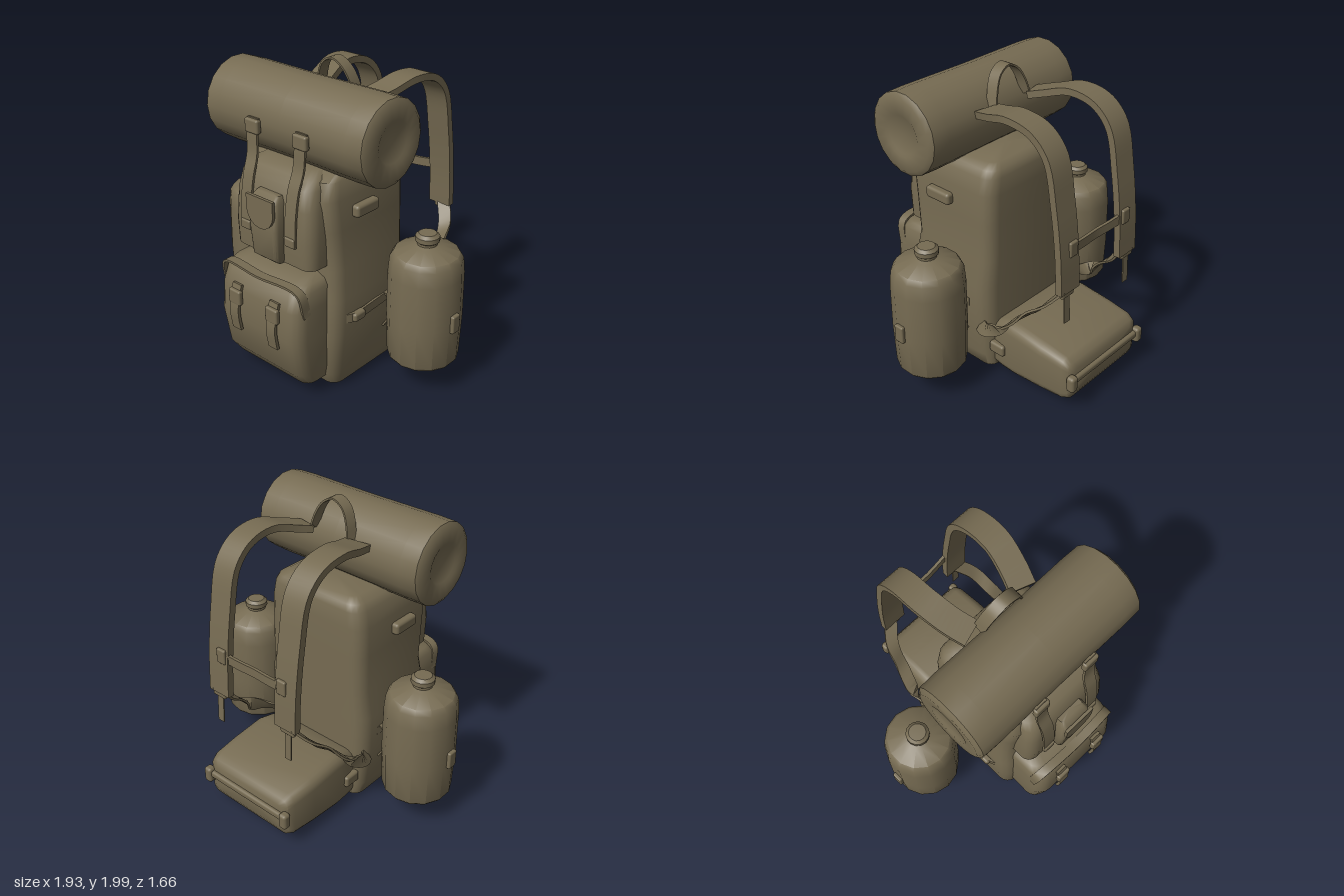
import * as THREE from 'three';
import { toCreasedNormals } from 'three/addons/utils/BufferGeometryUtils.js';
import { RoundedBoxGeometry } from 'three/addons/geometries/RoundedBoxGeometry.js';

const V = (x, y, z) => new THREE.Vector3(x, y, z);

// Skin a list of closed rings and cap both ends
function skin(rings, crease = 0.8) {
  const n = rings[0].length, pos = [], idx = [];
  rings.forEach(r => r.forEach(p => pos.push(p.x, p.y, p.z)));
  const centre = r => {
    const c = V(0, 0, 0);
    r.forEach(p => c.addScaledVector(p, 1 / n));
    pos.push(c.x, c.y, c.z);
    return pos.length / 3 - 1;
  };
  const lo = centre(rings[0]), hi = centre(rings[rings.length - 1]);
  const last = (rings.length - 1) * n;
  for (let i = 0; i < n; i++) {
    const k = (i + 1) % n;
    for (let j = 0; j < rings.length - 1; j++) {
      const a = j * n + i, b = j * n + k;
      idx.push(a, a + n, b, b, a + n, b + n);
    }
    idx.push(lo, i, k, hi, last + k, last + i);
  }
  const g = new THREE.BufferGeometry();
  g.setAttribute('position', new THREE.Float32BufferAttribute(pos, 3));
  g.setIndex(idx);
  return toCreasedNormals(g, crease);
}

// Stack rounded rectangles: [height, half width, back z, front z, corner radius]
function loft(sections) {
  return skin(sections.map(([y, w, z0, z1, r]) => {
    const ring = [];
    [[w - r, z1 - r], [r - w, z1 - r], [r - w, z0 + r], [w - r, z0 + r]].forEach(([cx, cz], q) => {
      for (let i = 0; i <= 4; i++) {
        const a = (q + i / 4) * Math.PI / 2;
        ring.push(V(cx + r * Math.cos(a), y, cz + r * Math.sin(a)));
      }
    });
    return ring;
  }));
}

// Flat webbing swept along a path; "across" is the width direction
function webbing(points, width, thick, across, steps = 24) {
  const curve = new THREE.CatmullRomCurve3(points.map(p => V(...p)));
  const rings = [];
  for (let i = 0; i <= steps; i++) {
    const p = curve.getPoint(i / steps), t = curve.getTangent(i / steps);
    const s = V(...across).addScaledVector(t, -V(...across).dot(t)).normalize();
    const n = V(0, 0, 0).crossVectors(s, t);
    rings.push([[1, 1], [-1, 1], [-1, -1], [1, -1]].map(([a, b]) =>
      p.clone().addScaledVector(s, a * width / 2).addScaledVector(n, b * thick / 2)));
  }
  return skin(rings);
}

export function createModel() {
  const model = new THREE.Group();
  const canvas = new THREE.MeshStandardMaterial({ color: 0x766b52 });
  canvas.name = 'olive canvas';

  const add = (name, geo, x = 0, y = 0, z = 0) => {
    const m = new THREE.Mesh(geo, canvas);
    m.name = name;
    m.position.set(x, y, z);
    model.add(m);
    return m;
  };
  const block = (name, w, h, d, x, y, z) =>
    add(name, new RoundedBoxGeometry(w, h, d, 2, Math.min(w, h, d) * 0.35), x, y, z);

  // Main sack
  add('mainSack', loft([
    [0.005, 0.34, -0.13, 0.42, 0.06], [0.03, 0.375, -0.155, 0.5, 0.07], [0.12, 0.395, -0.16, 0.54, 0.08],
    [0.4, 0.415, -0.16, 0.55, 0.1], [0.65, 0.415, -0.16, 0.54, 0.1], [0.84, 0.39, -0.16, 0.51, 0.09],
    [1.1, 0.385, -0.16, 0.53, 0.09], [1.3, 0.38, -0.16, 0.55, 0.09], [1.41, 0.36, -0.155, 0.52, 0.09],
    [1.455, 0.335, -0.14, 0.42, 0.08], [1.485, 0.28, -0.1, 0.22, 0.06]]));

  // Front pockets
  add('lowerPocket', loft([
    [0.08, 0.28, 0.4, 0.58, 0.05], [0.11, 0.33, 0.4, 0.69, 0.07], [0.2, 0.345, 0.4, 0.755, 0.08],
    [0.45, 0.35, 0.4, 0.8, 0.09], [0.65, 0.345, 0.4, 0.785, 0.09], [0.76, 0.335, 0.4, 0.75, 0.09],
    [0.8, 0.31, 0.4, 0.7, 0.08], [0.82, 0.25, 0.4, 0.58, 0.05]]));
  add('lowerPocketFlapHem', webbing([[-0.34, 0.62, 0.7], [-0.31, 0.78, 0.73], [0, 0.79, 0.745],
    [0.31, 0.78, 0.73], [0.34, 0.62, 0.7]], 0.06, 0.015, [0, 0, 1]));
  add('lidPocket', loft([
    [0.85, 0.28, 0.4, 0.6, 0.05], [0.88, 0.325, 0.4, 0.645, 0.07], [1.05, 0.33, 0.4, 0.655, 0.08],
    [1.25, 0.32, 0.4, 0.64, 0.08], [1.37, 0.3, 0.4, 0.615, 0.08], [1.42, 0.28, 0.38, 0.57, 0.07],
    [1.455, 0.22, 0.3, 0.48, 0.05]]));
  add('smallPouch', loft([
    [0.87, 0.095, 0.6, 0.67, 0.02], [0.9, 0.11, 0.6, 0.705, 0.03], [1.1, 0.115, 0.6, 0.72, 0.03],
    [1.27, 0.11, 0.6, 0.71, 0.03], [1.31, 0.09, 0.6, 0.67, 0.02]]));

  // Rounded flap on the small pouch
  const flap = new THREE.Shape();
  flap.moveTo(-0.11, 0.2);
  flap.lineTo(-0.11, 0.1);
  flap.bezierCurveTo(-0.09, -0.03, 0.09, -0.03, 0.11, 0.1);
  flap.lineTo(0.11, 0.2);
  add('pouchFlap', new THREE.ExtrudeGeometry(flap, { depth: 0.02, bevelEnabled: false }), 0, 1.1, 0.712);

  // Bedroll lying across the top
  const roll = [[0, -0.625], [0.12, -0.63], [0.14, -0.64], [0.23, -0.642], [0.262, -0.62], [0.266, -0.5],
    [0.262, 0], [0.266, 0.5], [0.262, 0.62], [0.23, 0.642], [0.14, 0.64], [0.12, 0.63], [0, 0.625]];
  const rollGeo = new THREE.LatheGeometry(roll.map(p => new THREE.Vector2(...p)), 18);
  add('bedroll', toCreasedNormals(rollGeo, 0.7).rotateZ(Math.PI / 2), 0, 1.673, 0.295);

  // Carry handle behind the bedroll
  add('carryHandle', webbing([[-0.15, 1.77, 0.03], [-0.12, 1.88, 0.05], [-0.075, 1.955, 0.065], [0, 1.992, 0.07],
    [0.075, 1.955, 0.065], [0.12, 1.88, 0.05], [0.15, 1.77, 0.03]], 0.08, 0.012, [0, 0, 1]));

  // Seat bag at the back, lofted rearward
  add('rearBag', loft([
    [0.13, 0.34, 0.04, 0.38, 0.06], [0.22, 0.355, 0.035, 0.42, 0.07], [0.32, 0.365, 0.04, 0.435, 0.07],
    [0.55, 0.365, 0.055, 0.41, 0.07], [0.72, 0.355, 0.07, 0.385, 0.06], [0.765, 0.34, 0.09, 0.36, 0.05],
    [0.785, 0.3, 0.13, 0.32, 0.04]]).rotateX(-Math.PI / 2));
  block('rearBagLip', 0.66, 0.05, 0.05, 0, 0.25, -0.785);

  // Canteen outline
  const canteen = [[0, 0.21], [0.21, 0.21], [0.225, 0.23], [0.235, 0.5], [0.232, 0.8], [0.222, 0.9], [0.2, 0.935],
    [0.09, 0.975], [0.062, 0.985], [0.062, 1.0], [0.075, 1.01], [0.075, 1.04], [0.055, 1.058], [0, 1.06]];

  for (const s of [1, -1]) {
    const side = s > 0 ? 'left' : 'right';
    const flip = pts => pts.map(([x, y, z]) => [x * s, y, z]);

    // Canteen with its outer clip
    add(side + 'Canteen', toCreasedNormals(
      new THREE.LatheGeometry(canteen.map(p => new THREE.Vector2(...p)), 14), 0.7), s * 0.712, 0, 0.047);
    block(side + 'CanteenClip', 0.03, 0.12, 0.07, s * 0.95, 0.53, 0.06);

    // Padded shoulder strap
    add(side + 'ShoulderStrap', webbing(flip([[0.2, 1.765, 0.02], [0.24, 1.8, -0.1], [0.275, 1.845, -0.27],
      [0.28, 1.815, -0.45], [0.28, 1.7, -0.57], [0.28, 1.42, -0.635], [0.28, 1.12, -0.675], [0.28, 0.86, -0.69]]),
    0.165, 0.045, [1, 0, 0], 36));
    // Lower adjusting strap, buckle and loose tail
    add(side + 'LowerStrap', webbing(flip([[0.3, 0.87, -0.69], [0.38, 0.76, -0.6], [0.42, 0.64, -0.47],
      [0.46, 0.48, -0.31], [0.455, 0.4, -0.18], [0.4, 0.36, -0.08]]), 0.085, 0.015, [0, 0.7, -0.7]));
    block(side + 'StrapBuckle', 0.11, 0.07, 0.035, s * 0.29, 0.86, -0.69);
    add(side + 'StrapTail', webbing(flip([[0.29, 0.86, -0.69], [0.29, 0.75, -0.695], [0.29, 0.64, -0.7]]),
      0.05, 0.008, [1, 0, 0], 6));
    block(side + 'ChestBuckle', 0.07, 0.1, 0.03, s * 0.25, 1.14, -0.695);

    // Strap from the bedroll down over the lid pocket
    add(side + 'LidStrap', webbing(flip([[0.195, 1.7, 0.565], [0.195, 1.6, 0.58], [0.19, 1.48, 0.59],
      [0.185, 1.36, 0.63], [0.185, 1.2, 0.658], [0.185, 1.02, 0.668]]), 0.085, 0.015, [1, 0, 0]));
    block(side + 'LidStrapUpperBuckle', 0.11, 0.09, 0.04, s * 0.195, 1.65, 0.575);
    block(side + 'LidStrapLowerBuckle', 0.08, 0.06, 0.03, s * 0.185, 1.05, 0.67);

    // Short strap on the lower pocket
    add(side + 'PocketStrap', webbing(flip([[0.16, 0.69, 0.785], [0.16, 0.6, 0.81], [0.16, 0.5, 0.822],
      [0.16, 0.38, 0.805]]), 0.075, 0.02, [1, 0, 0], 10));
    block(side + 'PocketBuckle', 0.1, 0.1, 0.035, s * 0.16, 0.61, 0.81);
    block(side + 'BottomTab', 0.07, 0.05, 0.05, s * 0.16, 0.07, 0.57);

    // Side compression strap and canteen sling
    add(side + 'CompressionStrap', webbing(flip([[0.4, 0.51, 0.45], [0.43, 0.51, 0.38], [0.425, 0.51, 0.2],
      [0.41, 0.51, 0]]), 0.06, 0.015, [0, 1, 0], 12));
    block(side + 'CompressionBuckle', 0.05, 0.06, 0.1, s * 0.435, 0.51, 0.35);
    add(side + 'CanteenSling', webbing(flip([[0.41, 0.54, 0.05], [0.475, 0.5, 0.05], [0.46, 0.38, 0.05],
      [0.41, 0.29, 0.05]]), 0.06, 0.012, [0, 0, 1], 12));
    block(side + 'UpperSideTab', 0.06, 0.08, 0.2, s * 0.4, 1.2, 0.25);

    // Rear bag fittings
    block(side + 'RearBagBuckle', 0.06, 0.11, 0.06, s * 0.335, 0.24, -0.795);
    block(side + 'RearBagMount', 0.05, 0.08, 0.12, s * 0.36, 0.21, -0.2);
  }

  // Chest strap joining the shoulder straps
  add('chestStrap', webbing([[-0.27, 1.14, -0.69], [-0.13, 1.12, -0.675], [0, 1.115, -0.665],
    [0.13, 1.12, -0.675], [0.27, 1.14, -0.69]], 0.06, 0.02, [0, 1, 0], 12));

  return model;
}
